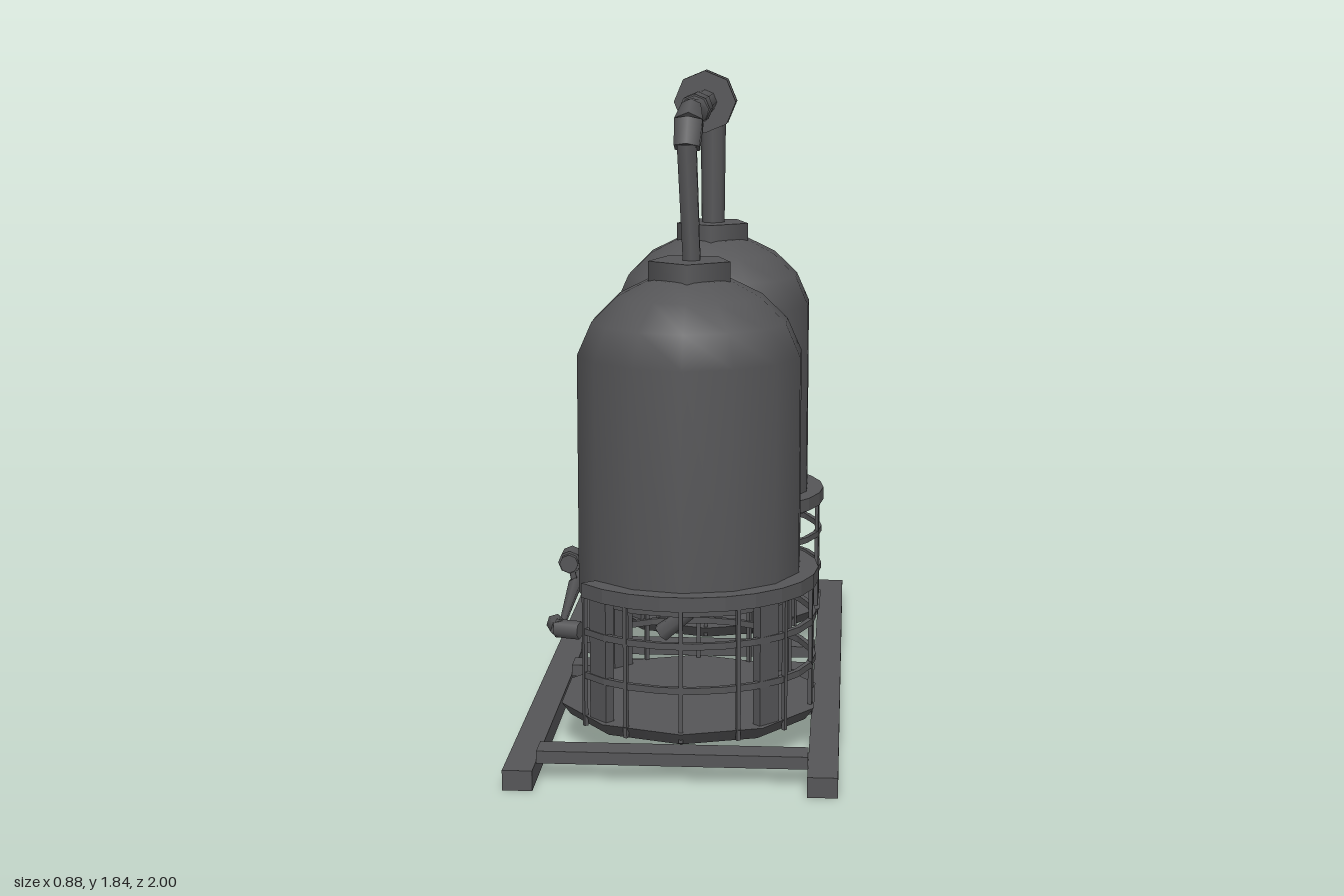
import * as THREE from 'three';

const steel = new THREE.MeshStandardMaterial({ color: 0x555557 });
steel.name = 'darkSteel';
const yellow = new THREE.MeshStandardMaterial({ color: 0x7a6c1c });
yellow.name = 'signYellow';

function add(parent, name, geometry, material = steel) {
  const mesh = new THREE.Mesh(geometry, material);
  mesh.name = name;
  parent.add(mesh);
  return mesh;
}

function box(parent, name, size, pos, material) {
  const mesh = add(parent, name, new THREE.BoxGeometry(...size), material);
  mesh.position.set(...pos);
  return mesh;
}

// Straight or tapered pipe between two points
function rod(parent, name, a, b, ra, rb = ra, sides = 8) {
  const from = new THREE.Vector3(...a), to = new THREE.Vector3(...b);
  const dir = to.clone().sub(from);
  const mesh = add(parent, name, new THREE.CylinderGeometry(rb, ra, dir.length(), sides));
  mesh.position.copy(from).add(to).multiplyScalar(0.5);
  mesh.quaternion.setFromUnitVectors(new THREE.Vector3(0, 1, 0), dir.normalize());
  return mesh;
}

// Flat band around a tank, open on the pipe side (-x)
const OPEN = 2.47;
function band(parent, name, inner, outer, y, height) {
  const s = new THREE.Shape();
  s.absarc(0, 0, outer, -OPEN, OPEN, false);
  s.absarc(0, 0, inner, OPEN, -OPEN, true);
  const g = new THREE.ExtrudeGeometry(s, { depth: height, bevelEnabled: false, curveSegments: 10 });
  g.rotateX(-Math.PI / 2);
  add(parent, name, g).position.y = y;
}

function tank(name) {
  const t = new THREE.Group();
  t.name = name;

  // Domed vessel with a closed bottom
  const bottom = [[0, 0.425], [0.312, 0.425]];
  const shell = [[0.312, 0.425], [0.312, 1.09], [0.272, 1.18], [0.2, 1.25], [0.11, 1.295], [0, 1.305]];
  const lathe = (pts) => new THREE.LatheGeometry(pts.map((p) => new THREE.Vector2(...p)), 14);
  add(t, 'vesselBottom', lathe(bottom));
  add(t, 'vesselShell', lathe(shell));
  add(t, 'neckCollar', new THREE.CylinderGeometry(0.118, 0.118, 0.055, 5)).position.y = 1.318;

  // Floor plate and support stand
  add(t, 'floorPlate', new THREE.CylinderGeometry(0.368, 0.342, 0.035, 10)).position.y = 0.102;
  band(t, 'topRing', 0.305, 0.357, 0.452, 0.04);
  for (const y of [0.225, 0.347]) band(t, 'cageHoop', 0.338, 0.352, y, 0.018);
  for (const sx of [-1, 1]) for (const sz of [-1, 1]) {
    const leg = box(t, 'standLeg', [0.068, 0.34, 0.028], [sx * 0.222, 0.288, sz * 0.248]);
    leg.rotation.y = Math.atan2(sx, sz);
  }

  // Thin upright cage bars
  for (let i = -5; i <= 5; i++) {
    const a = (i + 0.5) * Math.PI * 2 / 14;
    if (Math.abs(a) > OPEN) continue;
    const bar = box(t, 'cageBar', [0.011, 0.38, 0.011], [Math.cos(a) * 0.347, 0.28, Math.sin(a) * 0.347]);
    bar.rotation.y = -a;
  }
  return t;
}

export function createModel() {
  const model = new THREE.Group();
  model.name = 'twinTankSkid';

  // Skid frame
  for (const x of [-0.4, 0.4]) box(model, 'skidRail', [0.08, 0.055, 2], [x, 0.0275, 0]);
  for (const z of [-0.905, -0.132, 0.105, 0.88]) box(model, 'crossBeam', [0.72, 0.034, 0.08], [0, 0.065, z]);

  // Two tanks
  const front = tank('frontTank');
  front.position.set(0.02, 0, 0.505);
  const rear = tank('rearTank');
  rear.position.set(0.02, 0, -0.515);
  model.add(front, rear);

  // Overhead connecting pipe
  const over = new THREE.Group();
  over.name = 'overheadPipe';
  model.add(over);
  const x = 0.02, y = 1.743;
  rod(over, 'frontRiser', [0.025, 1.33, 0.505], [0.012, 1.66, 0.515], 0.027, 0.03, 6);
  rod(over, 'frontElbowLower', [0.012, 1.65, 0.51], [0.015, 1.72, 0.482], 0.04, 0.045, 6);
  rod(over, 'frontElbowUpper', [0.015, 1.71, 0.485], [0.018, 1.755, 0.425], 0.045, 0.03, 6);
  rod(over, 'pipeTip', [x, 1.77, 0.405], [x, y, 0.33], 0.008, 0.042);
  rod(over, 'pipeSleeve', [x, y, 0.335], [x, y, 0.195], 0.044);
  rod(over, 'mainPipe', [x, y, 0.2], [x, y, -0.43], 0.036);
  rod(over, 'rearElbow', [x, y, -0.42], [x, 1.665, -0.518], 0.038, 0.042);
  rod(over, 'rearRiser', [x, 1.69, -0.518], [x, 1.33, -0.518], 0.04, 0.036);
  rod(over, 'flangeDrum', [x, y, -0.105], [x, y, -0.195], 0.076);
  for (const z of [-0.112, -0.188]) rod(over, 'flangeRim', [x, y, z - 0.007], [x, y, z + 0.007], 0.092);

  // Low drain pipe with end elbows and valve
  const drain = new THREE.Group();
  drain.name = 'drainPipe';
  model.add(drain);
  for (const s of [-1, 1]) {
    rod(drain, 'drainRun', [-0.368, 0.29, 0], [-0.35, 0.29, s * 0.45], 0.021, 0.009, 6);
    rod(drain, 'drainElbow', [-0.37, 0.296, s * 0.435], [-0.35, 0.296, s * 0.5], 0.026, 0.026, 6);
    rod(drain, 'drainStub', [-0.36, 0.296, s * 0.49], [-0.29, 0.296, s * 0.51], 0.026, 0.026, 6);
    rod(drain, 'tankOutlet', [-0.06, 0.296, s * 0.515], [0.02, 0.362, s * 0.53], 0.027, 0.022, 6);
  }
  rod(drain, 'valveBody', [-0.38, 0.365, 0.04], [-0.38, 0.365, -0.07], 0.028);
  rod(drain, 'valveCollar', [-0.38, 0.365, 0.02], [-0.38, 0.365, -0.05], 0.035);
  rod(drain, 'valveStem', [-0.368, 0.29, -0.012], [-0.38, 0.35, -0.012], 0.01, 0.01, 6);

  // Control panel on two posts
  const panel = new THREE.Group();
  panel.name = 'controlPanel';
  model.add(panel);
  for (const z of [-0.1, 0.09]) box(panel, 'panelPost', [0.01, 0.62, 0.015], [-0.262, 0.39, z]);
  box(panel, 'panelBoard', [0.008, 0.2, 0.2], [-0.262, 0.595, -0.005]);
  box(panel, 'panelFace', [0.004, 0.18, 0.165], [-0.268, 0.595, -0.005], yellow);

  return model;
}
